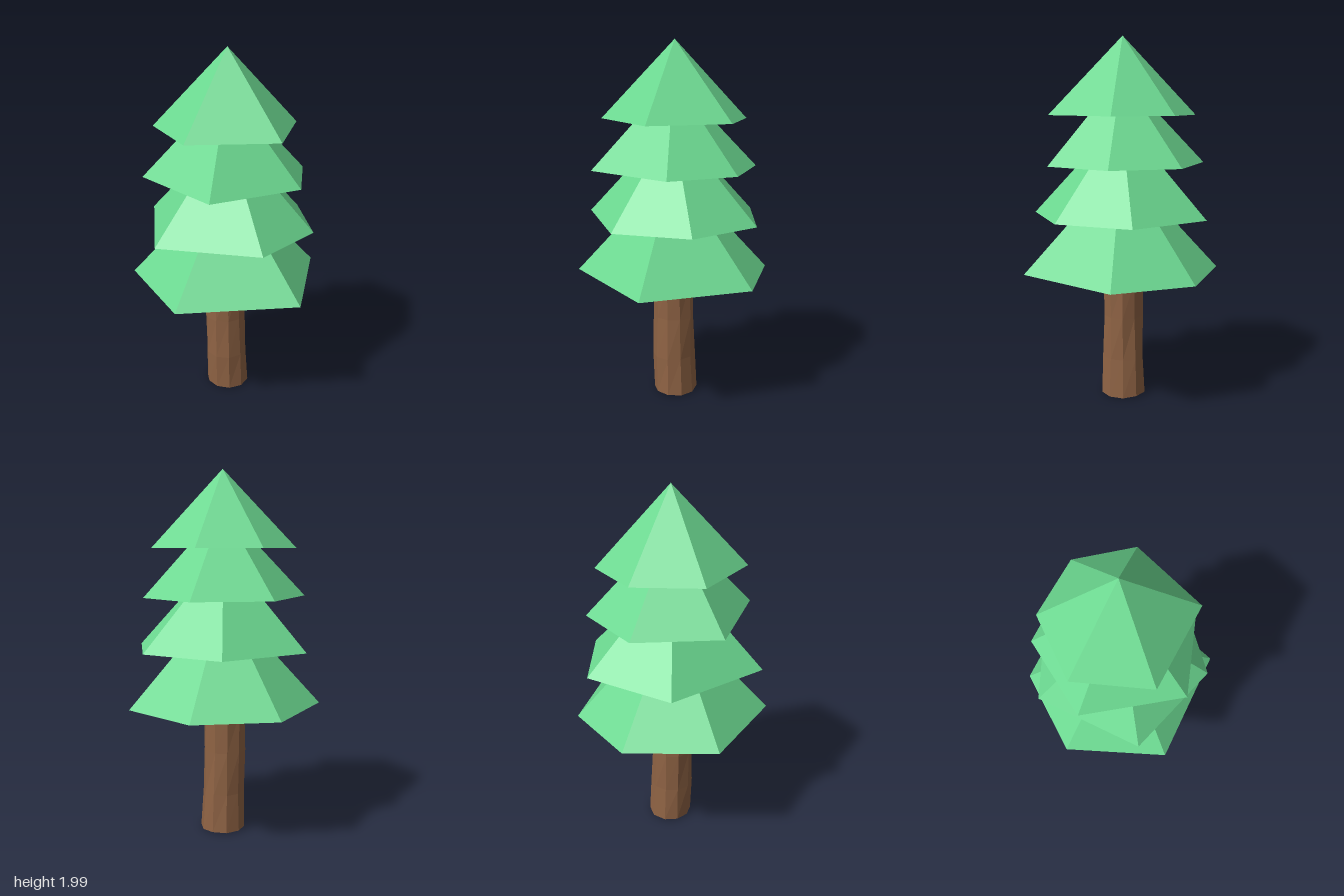
import * as THREE from 'three';

const leafMaterial = new THREE.MeshStandardMaterial({ color: 0x6bd890, flatShading: true });
const barkMaterial = new THREE.MeshStandardMaterial({ color: 0x8f6344, flatShading: true });

// Each tier: base height, apex, and an uneven six-cornered rim as [x, z]
const tiers = [
  { name: 'foliageBottom', y: 0.733, apex: [0.005, 1.32, -0.01],
    rim: [[0.115, -0.54], [0.48, -0.265], [0.505, 0.19], [0.01, 0.54], [-0.51, 0.145], [-0.365, -0.4]] },
  { name: 'foliageLowerMiddle', y: 1.045, apex: [0, 1.57, -0.01],
    rim: [[-0.135, -0.49], [0.36, -0.37], [0.495, 0.075], [0.245, 0.41], [-0.175, 0.44], [-0.5, -0.015]] },
  { name: 'foliageUpperMiddle', y: 1.325, apex: [0.005, 1.8, -0.01],
    rim: [[0.085, -0.46], [0.42, -0.205], [0.41, 0.175], [0.115, 0.42], [-0.365, 0.255], [-0.35, -0.295]] },
  { name: 'foliageTop', y: 1.585, apex: [0.01, 2, -0.015],
    rim: [[0.105, -0.4], [0.365, -0.185], [0.37, 0.15], [-0.005, 0.39], [-0.375, 0.085], [-0.255, -0.31]] },
];

// Closed pyramid over an uneven rim
function makeTier({ name, y, apex, rim }) {
  const points = [];
  rim.forEach(([x, z], i) => {
    const [nx, nz] = rim[(i + 1) % rim.length];
    points.push(...apex, nx, y, nz, x, y, z);
    points.push(0, y, 0, x, y, z, nx, y, nz);
  });
  const geometry = new THREE.BufferGeometry();
  geometry.setAttribute('position', new THREE.Float32BufferAttribute(points, 3));
  geometry.computeVertexNormals();
  const mesh = new THREE.Mesh(geometry, leafMaterial);
  mesh.name = name;
  return mesh;
}

// Slightly tapered trunk, roughened by a rule that depends only on position
function makeTrunk() {
  const sides = 10, height = 0.9;
  const geometry = new THREE.CylinderGeometry(0.108, 0.123, height, sides, 4);
  const pos = geometry.attributes.position;
  for (let i = 0; i < pos.count; i++) {
    const x = pos.getX(i), y = pos.getY(i) + height / 2, z = pos.getZ(i);
    const lean = 0.012 * (1 - y / 0.75);
    if (Math.hypot(x, z) < 0.01) {
      pos.setXYZ(i, lean, y + 0.014, -0.022);
      continue;
    }
    const side = (Math.round(Math.atan2(z, x) / (Math.PI * 2) * sides * 2) + sides * 2) % (sides * 2);
    const row = Math.round(y / height * 4);
    const swell = 1 + 0.045 * Math.sin(side * 2.7 + row * 1.9);
    const lift = 0.008 + 0.008 * Math.sin(side * 3.1 + row * 2.3);
    pos.setXYZ(i, x * swell + lean, y + lift, z * swell - 0.022);
  }
  geometry.computeVertexNormals();
  const mesh = new THREE.Mesh(geometry, barkMaterial);
  mesh.name = 'trunk';
  return mesh;
}

export function createModel() {
  const tree = new THREE.Group();
  tree.name = 'pineTree';
  tree.add(makeTrunk(), ...tiers.map(makeTier));
  return tree;
}
